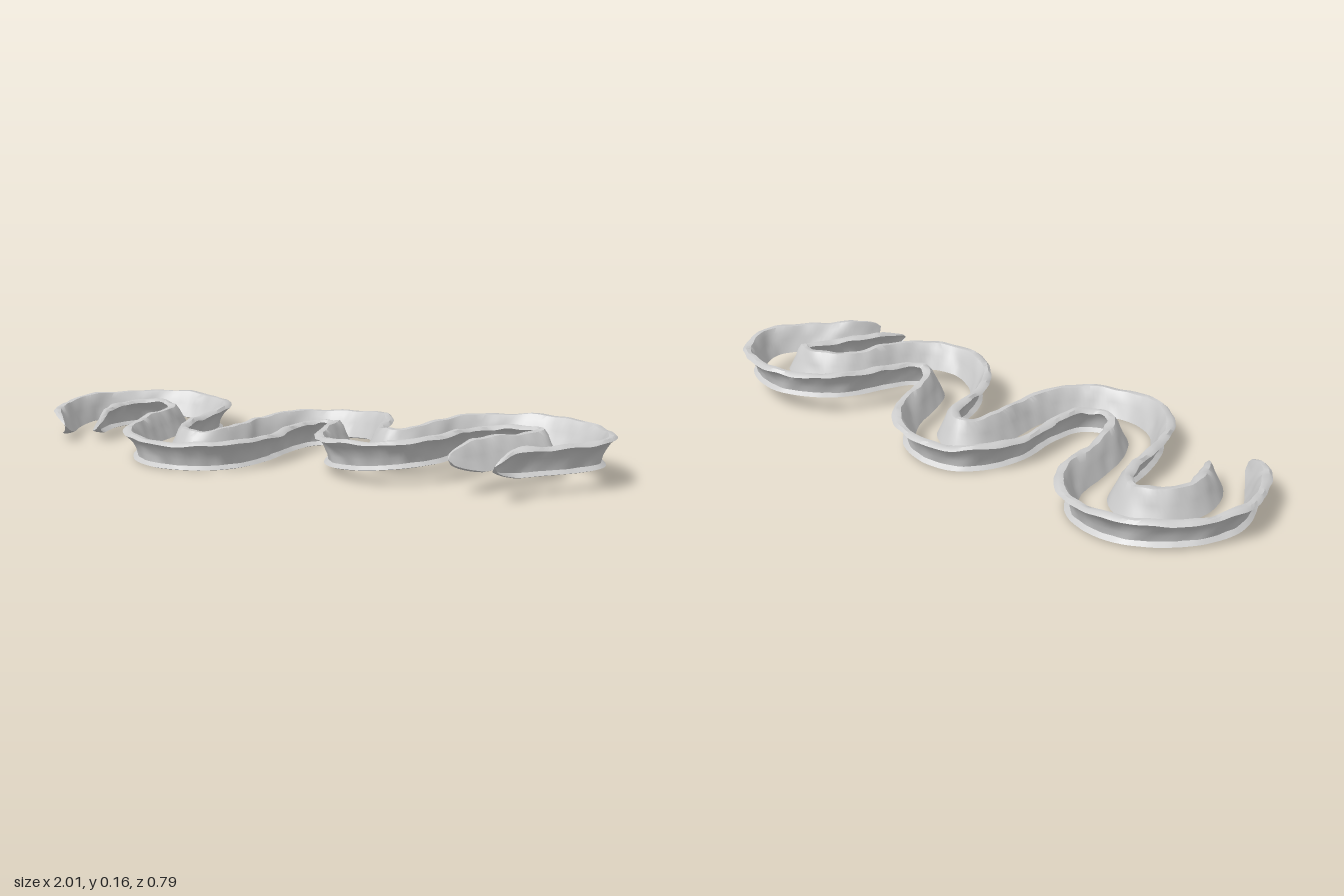
import * as THREE from 'three';
import { toCreasedNormals } from 'three/addons/utils/BufferGeometryUtils.js';

// Centre lines of the two banks as [x, z]
const OUTER = [
  [-0.82, 0.22], [-0.9, 0.13], [-0.957, 0], [-0.968, -0.11], [-0.92, -0.225], [-0.82, -0.32], [-0.69, -0.36],
  [-0.555, -0.32], [-0.475, -0.22], [-0.45, -0.05], [-0.417, 0.095], [-0.36, 0.185], [-0.29, 0.205],
  [-0.225, 0.16], [-0.203, 0.04], [-0.213, -0.1], [-0.18, -0.23], [-0.1, -0.315], [0, -0.338],
  [0.11, -0.305], [0.19, -0.21], [0.23, -0.09], [0.275, 0.005], [0.34, 0.042], [0.395, 0.01],
  [0.433, -0.08], [0.47, -0.195], [0.55, -0.29], [0.685, -0.338], [0.82, -0.31], [0.915, -0.24],
  [0.963, -0.13], [0.925, -0.035], [0.835, 0.07], [0.78, 0.15], [0.77, 0.24]];
const INNER = [
  [-0.735, 0.14], [-0.797, 0.053], [-0.82, -0.07], [-0.78, -0.165], [-0.69, -0.208], [-0.615, -0.165],
  [-0.577, -0.07], [-0.556, 0.08], [-0.503, 0.23], [-0.42, 0.32], [-0.305, 0.353], [-0.18, 0.315],
  [-0.1, 0.23], [-0.07, 0.107], [-0.075, -0.053], [-0.053, -0.16], [0, -0.193], [0.07, -0.155],
  [0.096, -0.053], [0.14, 0.08], [0.22, 0.17], [0.337, 0.208], [0.444, 0.165], [0.513, 0.07],
  [0.545, -0.053], [0.604, -0.14], [0.7, -0.182], [0.785, -0.155], [0.75, -0.053], [0.685, 0.064], [0.62, 0.22]];

// Bank section [towards channel, height]: lip, sloping inner face, foot, hollow outer face
const SECTION = [
  [-0.039, 0.086], [-0.028, 0.095], [-0.012, 0.094], [0.0, 0.077], [0.01, 0.055], [0.021, 0.033],
  [0.034, 0.008], [0.02, 0.003], [0.0, 0], [-0.008, 0.003], [0.006, 0.014], [0.002, 0.034],
  [-0.007, 0.054], [-0.02, 0.074]];

// Ground level of the valley, rising towards +x
const ground = x => 0.004 + 0.058 * THREE.MathUtils.smoothstep(x, -0.15, 0.6)
  + 0.008 * THREE.MathUtils.smoothstep(-x, 0.5, 1);

// Smooth lumpiness along the bank
const lump = (s, k) => Math.sin(s * 31 + k * 1.7) * 0.5 + Math.sin(s * 57 + k * 2.9 + 1) * 0.3
  + Math.sin(s * 93 - k * 2.1) * 0.3;

function bank(name, points, side, material) {
  const path = new THREE.CatmullRomCurve3(points.map(([x, z]) => new THREE.Vector3(x, 0, z)), false, 'centripetal');
  const steps = 260, n = SECTION.length, length = path.getLength();
  path.arcLengthDivisions = 1000;
  path.updateArcLengths();
  const positions = [], index = [];
  for (let i = 0; i <= steps; i++) {
    const u = i / steps, s = u * length;
    const p = path.getPointAt(u), t = path.getTangentAt(u);
    const endDistance = Math.min(s, length - s);
    const taper = 0.03 + 0.97 * Math.sqrt(Math.min(1, endDistance / 0.12));
    const base = ground(p.x);
    SECTION.forEach(([d, h], k) => {
      // rough middle and rim, steady foot
      const rough = h > 0.01 ? 0.0035 : 0.001;
      const across = side * (d + rough * lump(s, k * 0.5)) * taper;
      const rim = h > 0.07 ? 0.005 * lump(s * 0.6, 4 + k * 0.15) : 0;
      const y = base + 0.055 + (h + rim - 0.055) * taper;
      positions.push(p.x - t.z * across, Math.max(0, y), p.z + t.x * across);
      if (i < steps) {
        const a = i * n + k, b = i * n + (k + 1) % n, c = a + n, e = b + n;
        if (side > 0) index.push(a, b, c, b, e, c);
        else index.push(a, c, b, b, c, e);
      }
    });
  }
  const geometry = new THREE.BufferGeometry();
  geometry.setAttribute('position', new THREE.Float32BufferAttribute(positions, 3));
  geometry.setIndex(index);
  const mesh = new THREE.Mesh(toCreasedNormals(geometry, 0.8), material);
  mesh.name = name;
  return mesh;
}

export function createModel() {
  const group = new THREE.Group();
  group.name = 'riverBanks';
  const material = new THREE.MeshStandardMaterial({ color: 0xcccccc, side: THREE.DoubleSide });
  group.add(bank('backBank', OUTER, 1, material), bank('frontBank', INNER, -1, material));
  return group;
}
